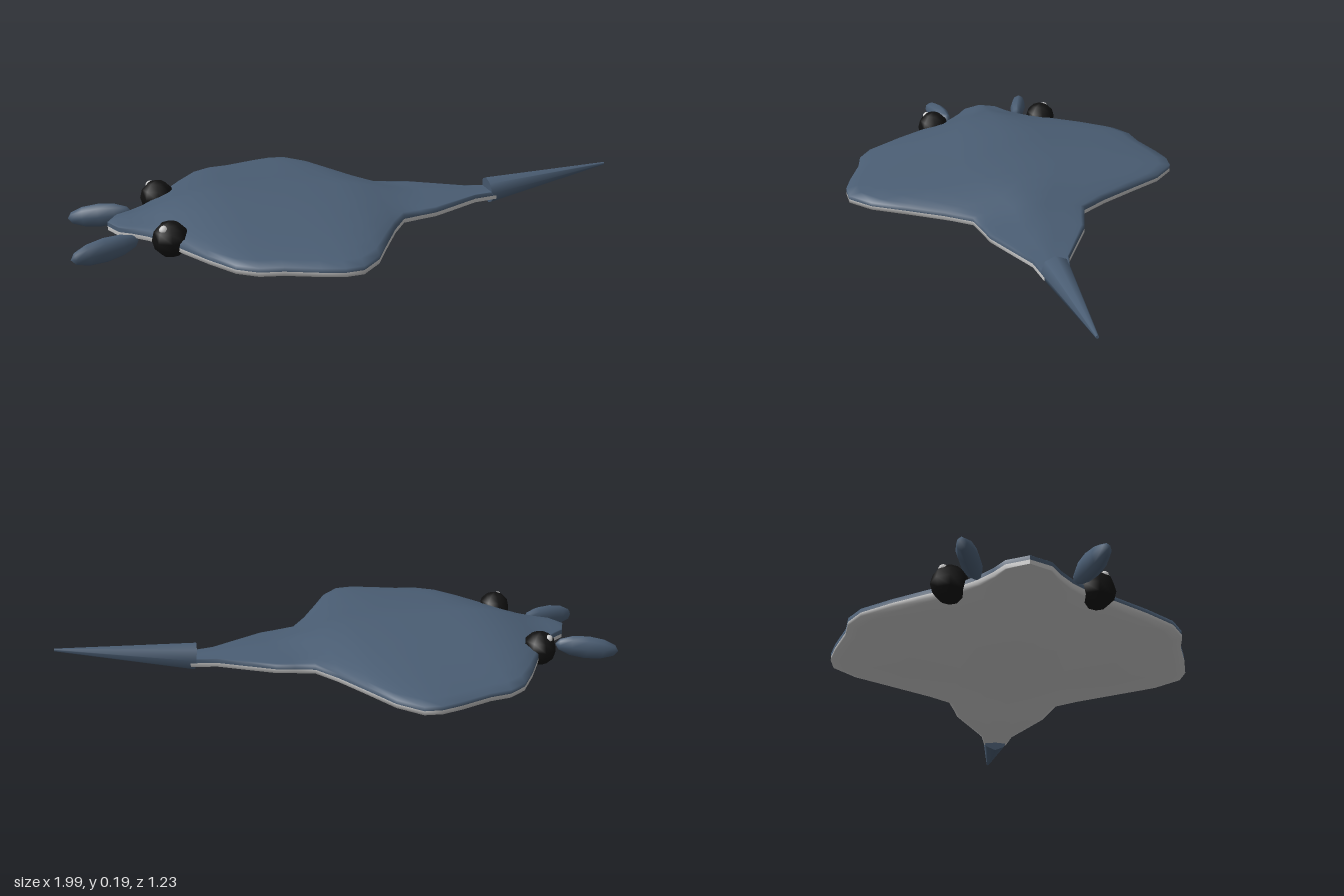
import * as THREE from 'three';

const mat = (color, side = THREE.FrontSide) => new THREE.MeshStandardMaterial({ color, side });

// Body stations along x: [x, half width, top y, underside y]
const STATIONS = [
  [-0.868, 0, 0.115, 0.088], [-0.835, 0.07, 0.128, 0.075], [-0.79, 0.1, 0.135, 0.065],
  [-0.74, 0.145, 0.145, 0.054], [-0.69, 0.21, 0.16, 0.041], [-0.64, 0.3, 0.175, 0.028],
  [-0.58, 0.4, 0.188, 0.015], [-0.51, 0.5, 0.196, 0.006], [-0.445, 0.543, 0.196, 0.004],
  [-0.37, 0.555, 0.195, 0.004], [-0.26, 0.595, 0.192, 0.006], [-0.19, 0.614, 0.19, 0.009],
  [-0.13, 0.608, 0.187, 0.012], [-0.06, 0.535, 0.184, 0.016], [0, 0.42, 0.18, 0.021],
  [0.07, 0.29, 0.167, 0.033], [0.13, 0.2, 0.154, 0.046], [0.2, 0.18, 0.138, 0.06],
  [0.26, 0.165, 0.133, 0.068], [0.36, 0.11, 0.127, 0.077], [0.45, 0.06, 0.118, 0.085],
  [0.54, 0.043, 0.112, 0.092],
];
// Cross-section from rim to middle: [fraction of half width, fraction of height]
const SECTION = [[1, 0], [0.93, 0.13], [0.8, 0.28], [0.6, 0.46], [0.3, 0.72], [0, 1]];
const RIM_Y = 0.1, RIM_HALF = 0.014;

function buildBody() {
  // Half ring from the +z seam over the top to the -z seam
  const half = [...SECTION, ...SECTION.slice(0, -1).reverse().map(([s, h]) => [-s, h])];
  const pos = [];
  for (const [x, w, top, under] of STATIONS) {
    for (const dir of [1, -1]) {
      const rim = RIM_Y + dir * RIM_HALF, peak = dir > 0 ? top : under;
      pos.push(x, RIM_Y, dir * w);
      for (const [s, h] of half) pos.push(x, rim + (peak - rim) * h, dir * s * w);
    }
  }
  const n = 2 * (half.length + 1);
  const strips = (from, to) => {
    const idx = [];
    for (let i = 0; i < STATIONS.length - 1; i++) {
      for (let j = from; j < to; j++) {
        const a = i * n + j, b = i * n + (j + 1) % n;
        idx.push(a, a + n, b, b, a + n, b + n);
      }
    }
    return idx;
  };
  // Normals are shared across the seam so the rim shades smoothly
  const whole = new THREE.BufferGeometry();
  whole.setAttribute('position', new THREE.Float32BufferAttribute(pos, 3));
  whole.setIndex(strips(0, n));
  whole.computeVertexNormals();
  return [strips(0, n / 2), strips(n / 2, n)].map((idx) => {
    const g = whole.clone();
    g.setIndex(idx);
    return g;
  });
}

export function createModel() {
  const group = new THREE.Group();
  const skin = mat(0x4a5d73), belly = mat(0xcccccc);
  const dark = mat(0x111111), white = mat(0xffffff);
  const add = (name, geometry, material, x = 0, y = 0, z = 0) => {
    const mesh = new THREE.Mesh(geometry, material);
    mesh.name = name;
    mesh.position.set(x, y, z);
    group.add(mesh);
    return mesh;
  };

  // Winged disc: back and pale underside
  const [upper, lower] = buildBody();
  add('back', upper, skin);
  add('underside', lower, belly);

  // Tapered tail, rising slightly towards its tip
  const base = new THREE.Vector3(0.52, 0.109, 0), tip = new THREE.Vector3(0.994, 0.175, 0);
  const axis = tip.clone().sub(base);
  const tail = add('tail', new THREE.CylinderGeometry(0.005, 0.05, axis.length(), 8), skin);
  tail.position.copy(base).add(tip).multiplyScalar(0.5);
  tail.quaternion.setFromUnitVectors(new THREE.Vector3(0, 1, 0), axis.normalize());

  // Eyes with highlights, and the pair of head fins
  for (const side of [1, -1]) {
    const name = side > 0 ? 'left' : 'right';
    add(name + 'Eye', new THREE.SphereGeometry(0.061, 8, 6), dark, -0.678, 0.117, side * 0.225);
    add(name + 'EyeHighlight', new THREE.SphereGeometry(0.016, 8, 6), white, -0.7, 0.156, side * 0.247);

    const fin = new THREE.SphereGeometry(1, 8, 6);
    fin.rotateZ(Math.PI / 2);
    fin.scale(0.116, 0.043, 0.031);
    fin.rotateZ(0.11);
    fin.rotateY(side * 0.27);
    add(name + 'HeadFin', fin, skin, -0.887, 0.081, side * 0.176);
  }
  return group;
}
